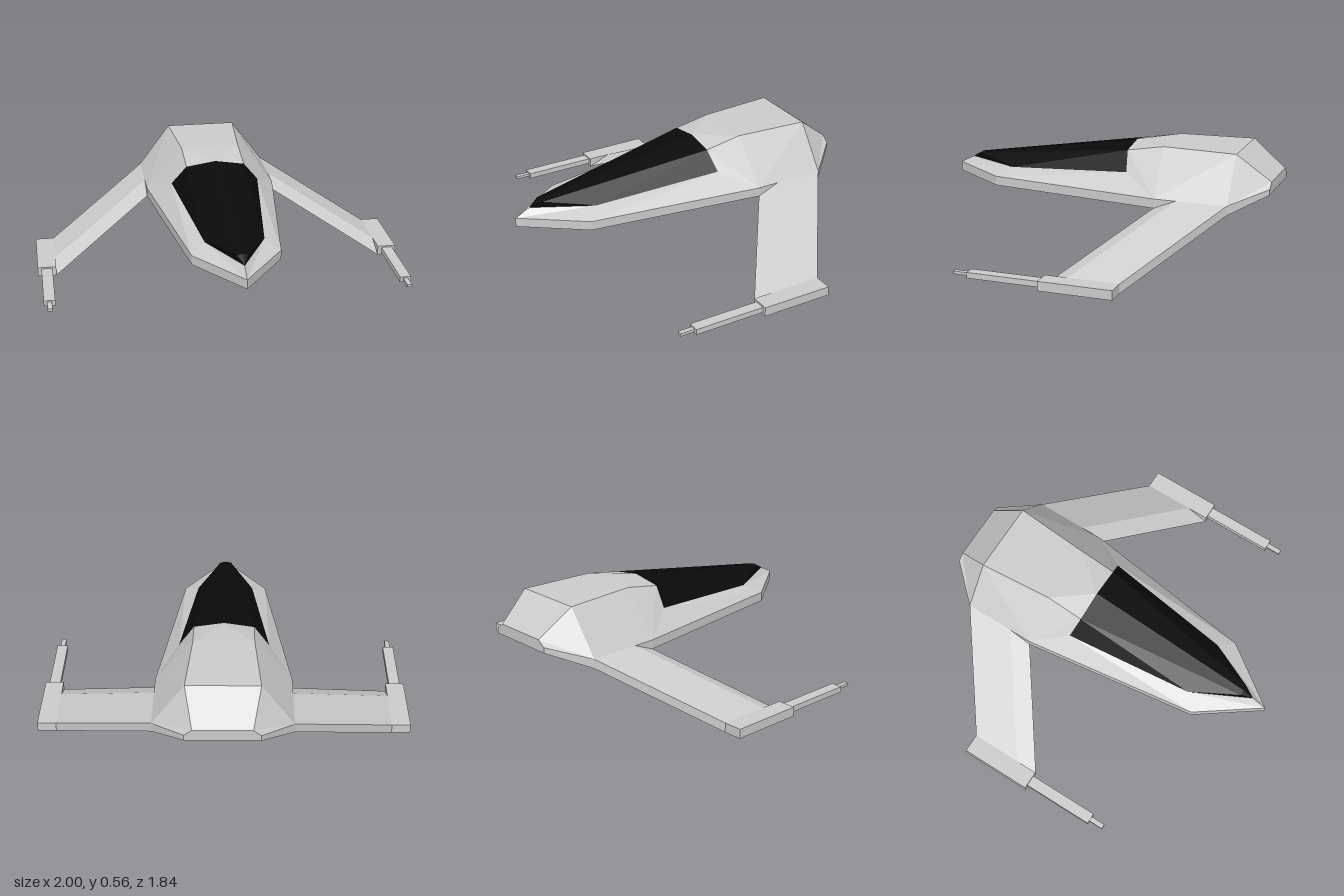
import * as THREE from 'three';

const grey = new THREE.MeshStandardMaterial({ color: 0xcccccc, flatShading: true });
const black = new THREE.MeshStandardMaterial({ color: 0x0a0a0a, flatShading: true });

// Flat-faced mesh from polygons given for the +x half, mirrored to -x.
function mirroredPanels(name, polygons, material) {
  const positions = [];
  for (const side of [1, -1]) {
    for (const polygon of polygons) {
      for (let i = 1; i < polygon.length - 1; i++) {
        const tri = [polygon[0], polygon[i], polygon[i + 1]];
        if (side < 0) tri.reverse();
        for (const [x, y, z] of tri) positions.push(x * side, y, z);
      }
    }
  }
  const geometry = new THREE.BufferGeometry();
  geometry.setAttribute('position', new THREE.Float32BufferAttribute(positions, 3));
  geometry.computeVertexNormals();
  const mesh = new THREE.Mesh(geometry, material);
  mesh.name = name;
  return mesh;
}

const centre = ([, y, z]) => [0, y, z];

function box(name, w, h, d, x, y, z) {
  const mesh = new THREE.Mesh(new THREE.BoxGeometry(w, h, d), grey);
  mesh.position.set(x, y, z);
  mesh.name = name;
  return mesh;
}

export function createModel() {
  const model = new THREE.Group();
  model.name = 'spacecraft';

  // Hull outline from nose to tail: lower edge and rim above it
  const lower = [[0, 0.28, 0.92], [0.23, 0.28, 0.6], [0.36, 0.28, -0.35], [0.36, 0.28, -0.74], [0.19, 0.36, -0.92]];
  const rim = lower.map(([x, y, z], i) => [x, i < 4 ? 0.33 : 0.39, z]);
  const [noseLow, cheekLow, rootLow, hipLow, tailLow] = lower;
  const [nose, cheek, root, hip, tail] = rim;

  // Canopy corners
  const tip = [0, 0.37, 0.84];
  const sill = [0.155, 0.37, 0.53];
  const sillRear = [0.24, 0.425, -0.16];
  const roofRear = [0.16, 0.525, -0.14];
  const ridgeRear = [0, 0.55, -0.14];
  const roofFront = [0.03, 0.4, 0.78];
  const ridgeFront = [0, 0.405, 0.78];

  // Upper hull corners
  const deckFront = [0.16, 0.56, -0.34];
  const deckRear = [0.19, 0.56, -0.74];
  const tailTop = [0.15, 0.42, -0.92];

  const hull = [
    [nose, cheek, sill, tip],
    [cheek, root, sillRear, sill],
    [root, deckFront, roofRear, sillRear],
    [root, hip, deckRear, deckFront],
    [hip, tail, tailTop, deckRear],
    [ridgeRear, roofRear, deckFront, centre(deckFront)],
    [deckFront, deckRear, centre(deckRear), centre(deckFront)],
    [deckRear, tailTop, centre(tailTop), centre(deckRear)],
    [centre(tailTop), tailTop, tail, tailLow, centre(tailLow)],
    [noseLow, centre(hipLow), hipLow, rootLow, cheekLow],
    [centre(hipLow), centre(tailLow), tailLow, hipLow],
  ];
  for (let i = 0; i < 4; i++) hull.push([lower[i], lower[i + 1], rim[i + 1], rim[i]]);
  model.add(mirroredPanels('hull', hull, grey));

  model.add(mirroredPanels('canopy', [
    [sill, sillRear, roofRear, roofFront, tip],
    [roofFront, roofRear, ridgeRear, ridgeFront],
    [tip, roofFront, ridgeFront],
  ], black));

  // Drooping forward-swept wings with a bevelled leading edge
  const leadTop = [0.36, 0.33, -0.47], leadTopTip = [0.9, 0.05, -0.09];
  const leadLowTip = [0.9, 0, 0.03];
  const trailTip = [0.9, 0.05, -0.36], trailLowTip = [0.9, 0, -0.36];
  model.add(mirroredPanels('wings', [
    [leadTopTip, trailTip, hip, leadTop],
    [rootLow, hipLow, trailLowTip, leadLowTip],
    [rootLow, leadLowTip, leadTopTip, leadTop],
    [trailLowTip, hipLow, hip, trailTip],
  ], grey));

  // Wingtip pods and guns
  for (const [side, label] of [[1, 'left'], [-1, 'right']]) {
    const gun = new THREE.Group();
    gun.name = label + 'WingtipGun';
    gun.add(
      box('pod', 0.1, 0.05, 0.39, side * 0.95, 0.025, -0.165),
      box('barrel', 0.06, 0.03, 0.39, side * 0.95, 0.027, 0.225),
      box('muzzle', 0.026, 0.015, 0.08, side * 0.95, 0.027, 0.46),
    );
    model.add(gun);
  }
  return model;
}
